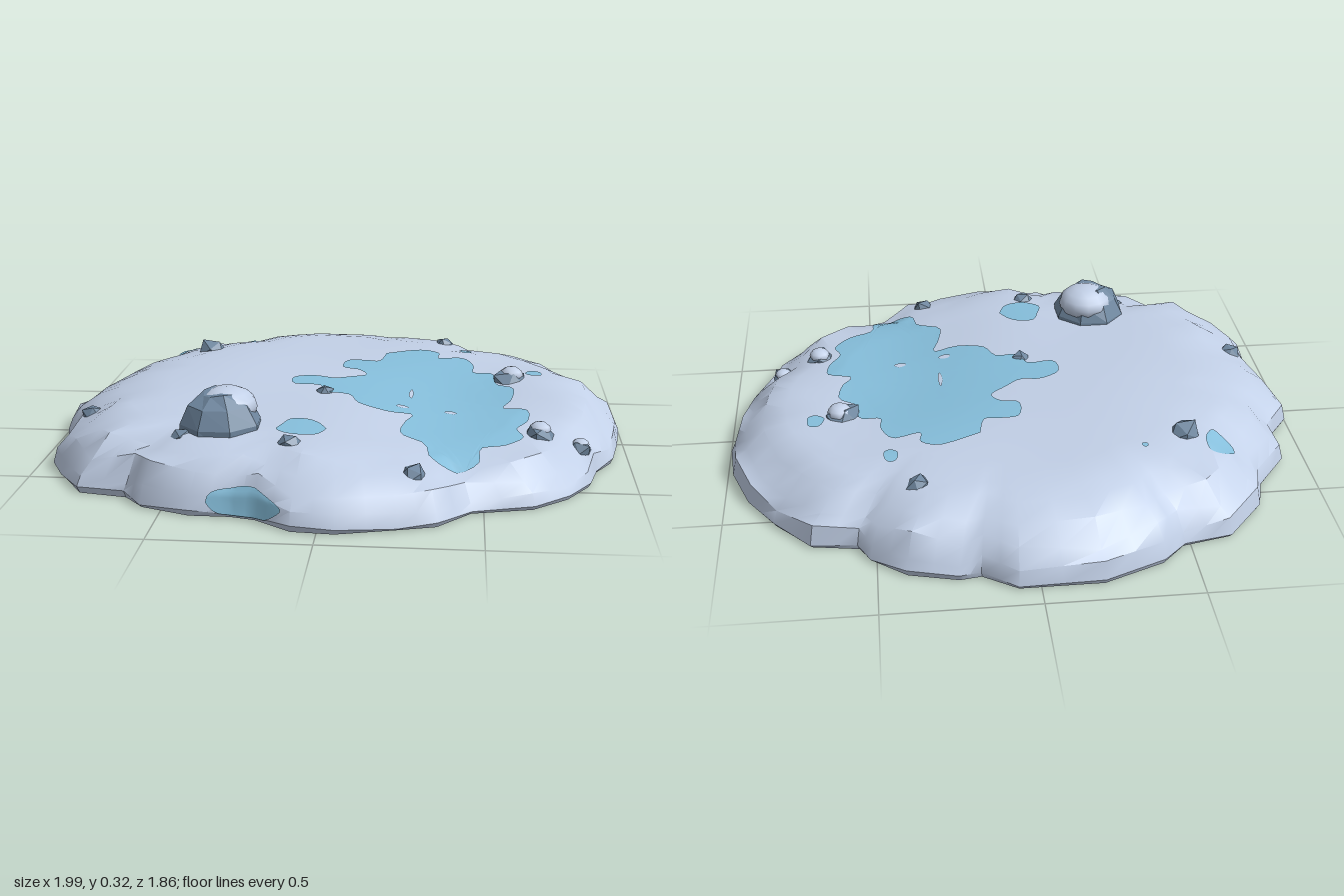
import * as THREE from 'three';
import { mergeVertices, toCreasedNormals } from 'three/addons/utils/BufferGeometryUtils.js';

// Rim of the drift as [x, z], running from the left side round by the front
const RIM = [
  [0.995, -0.1], [0.975, 0.05], [0.945, 0.21], [0.88, 0.32], [0.85, 0.45], [0.775, 0.57], [0.66, 0.67],
  [0.465, 0.72], [0.36, 0.84], [0.24, 0.875], [0.055, 0.925], [-0.08, 0.915], [-0.2, 0.83], [-0.28, 0.81],
  [-0.41, 0.81], [-0.57, 0.75], [-0.64, 0.67], [-0.8, 0.64], [-0.89, 0.5], [-0.945, 0.4], [-0.945, 0.21],
  [-0.99, 0.05], [-0.995, -0.08], [-0.91, -0.19], [-0.92, -0.32], [-0.8, -0.48], [-0.77, -0.59],
  [-0.64, -0.735], [-0.48, -0.77], [-0.4, -0.85], [-0.2, -0.93], [0.07, -0.93], [0.18, -0.86],
  [0.25, -0.87], [0.41, -0.83], [0.52, -0.745], [0.56, -0.68], [0.71, -0.655], [0.83, -0.53],
  [0.92, -0.4], [0.98, -0.24],
];
const N = RIM.length;

// Edge section: [share of the rim radius, share of the local height]
const EDGE = [[0.99, 0], [1, 0.08], [0.985, 0.33], [0.945, 0.58], [0.88, 0.78], [0.8, 0.93], [0.68, 1], [0, 1]];

// Main frozen pool as [x, z]
const POOL = [
  [0.14, -0.37], [0.27, -0.43], [0.34, -0.4], [0.34, -0.34], [0.43, -0.36], [0.47, -0.28], [0.47, -0.21],
  [0.54, -0.2], [0.55, -0.1], [0.61, -0.05], [0.6, 0.06], [0.57, 0.13], [0.65, 0.15], [0.65, 0.24],
  [0.61, 0.32], [0.63, 0.39], [0.57, 0.47], [0.49, 0.51], [0.48, 0.6], [0.4, 0.645], [0.33, 0.61],
  [0.31, 0.52], [0.23, 0.46], [0.24, 0.35], [0.26, 0.27], [0.18, 0.28], [0.08, 0.24], [0.04, 0.16],
  [-0.04, 0.15], [-0.07, 0.08], [-0.16, 0.08], [-0.17, 0], [-0.1, -0.04], [-0.03, -0.03], [0.03, -0.07],
  [0.08, -0.11], [0.05, -0.16], [-0.01, -0.18], [0, -0.27], [0.07, -0.28], [0.12, -0.28],
];

const noise = (n) => { const v = Math.sin(n * 12.9898 + 4.1) * 43758.5453; return (v - Math.floor(v)) * 2 - 1; };
const lerp = THREE.MathUtils.lerp;
const hump = (x, z, cx, cz, w) => Math.exp(-((x - cx) ** 2 + (z - cz) ** 2) / (w * w));

function localHeight(x, z) {
  return 0.2 + 0.022 * hump(x, z, -0.3, -0.1, 0.5) + 0.012 * hump(x, z, 0, -0.6, 0.4)
    - 0.055 * hump(x, z, 0.5, 0.55, 0.42) - 0.025 * hump(x, z, 0.35, 0, 0.3)
    - 0.02 * hump(x, z, 0.85, 0.3, 0.25)
    + 0.004 * Math.sin(9 * x + 3 * z) + 0.004 * Math.sin(8 * z - 5 * x);
}

// Lumps of the edge: a value for each rim corner and each knot of the section
const lumpAt = (i, j, k) => lerp(noise((i % N) + j * 61), noise(((i + 1) % N) + j * 61), k);

// Point on the drift: s runs along the rim, t runs along the edge section
function driftPoint(s, t, lift = 0) {
  const i = Math.floor(s), k = s - i, a = RIM[i % N], b = RIM[(i + 1) % N];
  const j = Math.min(Math.floor(t), EDGE.length - 2), m = t - j;
  const f = lerp(EDGE[j][0], EDGE[j + 1][0], m), p = lerp(EDGE[j][1], EDGE[j + 1][1], m);
  const lump = lerp(lumpAt(i, j, k), lumpAt(i, j + 1, k), m) * 0.55 * p * (1 - p);
  const x = lerp(a[0], b[0], k) * f, z = lerp(a[1], b[1], k) * f;
  const out = 1 + lift * (1 - p);
  return new THREE.Vector3(x * out, (p + lump) * localHeight(x, z) + lift * p, z * out);
}

// Point on top of the drift above a given x, z
function topPoint(x, z, lift = 0) {
  for (let i = 0; i < N; i++) {
    const a = RIM[i], b = RIM[(i + 1) % N];
    const det = a[0] * b[1] - a[1] * b[0];
    const wa = (x * b[1] - z * b[0]) / det, wb = (a[0] * z - a[1] * x) / det;
    if (wa < 0 || wb < 0) continue;
    const f = wa + wb;
    let j = 1;
    while (j < EDGE.length - 2 && EDGE[j + 1][0] > f) j++;
    const t = j + (EDGE[j][0] - f) / (EDGE[j][0] - EDGE[j + 1][0]);
    return driftPoint(i + (f > 0 ? wb / f : 0), t, lift);
  }
  return new THREE.Vector3(x, localHeight(x, z) + lift, z);
}

function driftGeometry() {
  const steps = [0, 1, 2, 3, 4, 5, 5.5, 6];
  for (let q = 1; q <= 11; q++) steps.push(6 + q / 11);
  const cols = N * 2, pos = [], index = [];
  // underside centre, then rings up the edge and over the top
  for (let r = -1; r < steps.length; r++) {
    for (let c = 0; c < cols; c++) {
      const p = r < 0 ? new THREE.Vector3() : driftPoint(c / 2, steps[r]);
      pos.push(p.x, p.y, p.z);
    }
  }
  for (let r = 0; r < steps.length; r++) {
    for (let c = 0; c < cols; c++) {
      const a = r * cols + c, b = r * cols + (c + 1) % cols;
      index.push(a, a + cols, b, b, a + cols, b + cols);
    }
  }
  const g = new THREE.BufferGeometry();
  g.setAttribute('position', new THREE.Float32BufferAttribute(pos, 3));
  g.setIndex(index);
  return toCreasedNormals(g, 0.6);
}

// Thin skin: a flat outline, split finely and laid onto the drift
function skinGeometry(points, place, levels) {
  const curve = points.map(([u, v]) => new THREE.Vector2(u, -v));
  const shape = new THREE.Shape().moveTo(curve[0].x, curve[0].y);
  shape.splineThru([...curve.slice(1), curve[0]]);
  const flat = new THREE.ShapeGeometry(shape, 3).toNonIndexed().attributes.position;
  const pos = [];
  const split = (a, b, c, n) => {
    if (n === 0) {
      for (const p of [a, b, c]) pos.push(...place(p.x, -p.y).toArray());
      return;
    }
    const [ab, bc, ca] = [[a, b], [b, c], [c, a]].map(([p, q]) => p.clone().lerp(q, 0.5));
    split(a, ab, ca, n - 1); split(ab, b, bc, n - 1); split(ca, bc, c, n - 1); split(ab, bc, ca, n - 1);
  };
  const at = (i) => new THREE.Vector2(flat.getX(i), flat.getY(i));
  for (let i = 0; i < flat.count; i += 3) split(at(i), at(i + 1), at(i + 2), levels);
  const g = new THREE.BufferGeometry();
  g.setAttribute('position', new THREE.Float32BufferAttribute(pos, 3));
  const merged = mergeVertices(g, 1e-4);
  merged.computeVertexNormals();
  return merged;
}

const blob = (cx, cz, rx, rz) => Array.from({ length: 9 }, (_, i) => {
  const a = i / 9 * Math.PI * 2, w = 1 + 0.12 * noise(i + cx * 10);
  return [cx + Math.cos(a) * rx * w, cz + Math.sin(a) * rz * w];
});

// Roughen a closed geometry so shared corners move together
function roughen(g, amount, seed) {
  const p = g.attributes.position, v = new THREE.Vector3();
  for (let i = 0; i < p.count; i++) {
    v.fromBufferAttribute(p, i);
    const key = Math.round(v.x * 50) + Math.round(v.y * 50) * 3.7 + Math.round(v.z * 50) * 7.3;
    v.multiplyScalar(1 + amount * noise(key + seed));
    p.setXYZ(i, v.x, v.y, v.z);
  }
  g.computeVertexNormals();
  return g;
}

export function createModel() {
  const model = new THREE.Group();
  model.name = 'snowDrift';
  const material = (name, color) => Object.assign(new THREE.MeshStandardMaterial({ color }), { name });
  const snow = material('snow', 0xc2d0e7);
  const ice = material('ice', 0x86bfdc);
  const stone = material('stone', 0x6f879f);
  ice.side = THREE.DoubleSide;
  const add = (name, geometry, mat, parent = model) => {
    const mesh = new THREE.Mesh(geometry, mat);
    mesh.name = name;
    parent.add(mesh);
    return mesh;
  };

  add('drift', driftGeometry(), snow);

  // Ice on the top, and one patch on the front wall
  const onTop = (x, z) => topPoint(x, z, 0.006);
  add('frozenPool', skinGeometry(POOL, onTop, 3), ice);
  [[-0.65, -0.46, 0.05, 0.055], [-0.09, 0.51, 0.075, 0.085], [0.44, -0.46, 0.025, 0.03],
    [0.69, -0.21, 0.03, 0.035], [-0.39, -0.5, 0.012, 0.012]]
    .forEach((b) => add('icePatch', skinGeometry(blob(...b), onTop, 2), ice));
  add('wallIce', skinGeometry(blob(12.4, 1.6, 1.2, 0.85), (s, t) => driftPoint(s, t, 0.008), 3), ice);

  // Flecks of snow showing through the pool
  [[0.25, 0.05, 0.008, 0.05], [0.225, 0.21, 0.022, 0.014], [0.39, 0.2, 0.02, 0.014]]
    .forEach((b) => add('snowFleck', skinGeometry(blob(...b), (x, z) => topPoint(x, z, 0.009), 1), snow));

  // Large boulder with a snow cap set towards the back
  const boulder = new THREE.Group();
  boulder.name = 'boulder';
  boulder.position.set(-0.355, 0.17, 0.49);
  model.add(boulder);
  const profile = [[0, -0.06], [0.135, -0.05], [0.135, 0.04], [0.105, 0.1], [0.055, 0.135], [0, 0.14]];
  const body = new THREE.LatheGeometry(profile.map((p) => new THREE.Vector2(...p)), 8).toNonIndexed();
  add('boulderBody', roughen(body, 0.06, 3), stone, boulder).rotation.y = Math.PI / 8;
  const cap = add('boulderCap', new THREE.SphereGeometry(1, 12, 8), snow, boulder);
  cap.position.set(0.02, 0.085, -0.024);
  cap.scale.set(0.1, 0.064, 0.098);
  const chip = add('boulderChip', roughen(new THREE.IcosahedronGeometry(0.05, 0), 0.2, 9), stone, boulder);
  chip.position.set(-0.11, -0.01, 0.075);

  // Scattered stones, half sunk: x, z, radius, snow-topped or not
  [[-0.54, -0.41, 0.058, 0], [0.36, -0.61, 0.037, 0], [0.6, -0.16, 0.066, 1], [0.68, 0.33, 0.058, 1],
    [0.82, 0.3, 0.045, 1], [-0.85, 0.22, 0.04, 0], [-0.11, 0.63, 0.044, 0], [0.28, 0.72, 0.047, 0],
    [-0.05, 0.13, 0.034, 0]].forEach(([x, z, r, capped], i) => {
    const group = new THREE.Group();
    group.name = 'stone';
    group.position.copy(topPoint(x, z));
    group.position.y -= r * 0.3;
    model.add(group);
    add('stoneBody', roughen(new THREE.IcosahedronGeometry(r, 0), 0.15, i * 5), stone, group).rotation.y = i;
    if (!capped) return;
    const top = add('stoneCap', new THREE.SphereGeometry(1, 8, 6), snow, group);
    top.position.set(0.1 * r, 0.52 * r, -0.1 * r);
    top.scale.set(0.65 * r, 0.46 * r, 0.65 * r);
  });
  return model;
}
